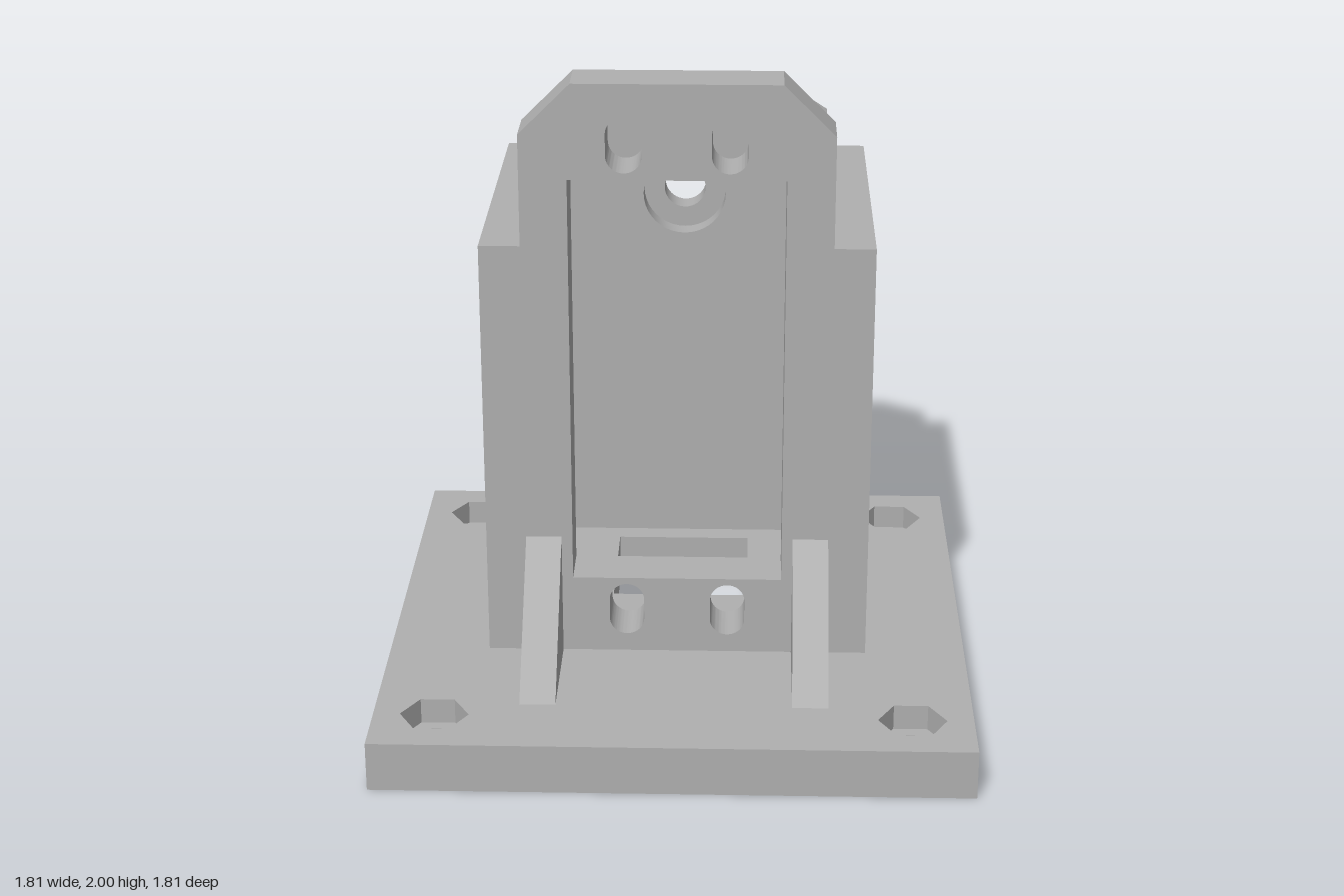
import * as THREE from 'three';
import { toCreasedNormals } from 'three/addons/utils/BufferGeometryUtils.js';

const BASE_TOP = 0.155;
const FRONT = 0.292, FRONT_IN = 0.135, BACK_IN = -0.608, BACK = -0.764;
const HALF_W = 0.593, HALF_IN = 0.472;

const polygon = (points) => points.map(([x, y]) => new THREE.Vector2(x, y));

// Mirrors the right half of an outline (bottom to top) across x = 0
const mirrored = (half) => polygon([...half, ...half.slice().reverse().map(([x, y]) => [-x, y])]);

const rect = (x0, y0, x1, y1) => new THREE.Path(polygon([[x0, y0], [x1, y0], [x1, y1], [x0, y1]]));

const circle = (x, y, r) => new THREE.Path().absarc(x, y, r, 0, Math.PI * 2, true);

const hexagon = (x, y, r) => new THREE.Path(polygon(Array.from({ length: 6 }, (_, i) => {
  const a = i * Math.PI / 3;
  return [x + r * Math.cos(a), y + r * Math.sin(a)];
})));

// Upright slot with round ends
const slot = (x, y, r, h) => new THREE.Path()
  .absarc(x, y + h, r, 0, Math.PI, false)
  .absarc(x, y - h, r, Math.PI, Math.PI * 2, false);

function extrude(outline, holes, depth) {
  const shape = new THREE.Shape(outline);
  shape.holes.push(...holes);
  const geo = new THREE.ExtrudeGeometry(shape, { depth, bevelEnabled: false, curveSegments: 20 });
  return toCreasedNormals(geo, 0.6);
}

export function createModel() {
  const model = new THREE.Group();
  model.name = 'mountingBracket';
  const grey = new THREE.MeshStandardMaterial({ color: 0xb0b0b0 });
  grey.name = 'grey';

  const add = (name, geo, x = 0, y = 0, z = 0) => {
    const mesh = new THREE.Mesh(geo, grey);
    mesh.name = name;
    mesh.position.set(x, y, z);
    model.add(mesh);
    return mesh;
  };

  // Base plate: round bolt holes below, hexagonal nut pockets above
  const square = mirrored([[0.905, -0.905], [0.905, 0.905]]);
  const corners = [[-1, -1], [1, -1], [1, 1], [-1, 1]].map(([x, y]) => [x * 0.72, y * 0.72]);
  const pocketFloor = 0.075;
  const plate = (name, cut, y, height) => {
    const holes = [rect(-0.22, 0.1, 0.22, 0.537), ...corners.map(cut)];
    add(name, extrude(square, holes, height).rotateX(-Math.PI / 2), 0, y);
  };
  plate('basePlateLower', ([x, y]) => circle(x, y, 0.054), 0, pocketFloor);
  plate('basePlateUpper', ([x, y]) => hexagon(x, y, 0.104), pocketFloor, BASE_TOP - pocketFloor);

  // Front wall with a tall opening and four slots
  const frontOutline = mirrored([
    [HALF_W, BASE_TOP], [HALF_W, 1.5], [0.468, 1.5], [0.468, 1.845], [0.312, 2],
  ]);
  const frontHoles = [rect(-0.325, 0.407, 0.325, 1.708)];
  for (const x of [-0.157, 0.157]) {
    for (const y of [0.3, 1.815]) frontHoles.push(slot(x, y, 0.054, 0.032));
  }
  add('frontWall', extrude(frontOutline, frontHoles, FRONT - FRONT_IN), 0, 0, FRONT_IN);

  // Back wall with a hole counterbored from inside
  const backOutline = mirrored([
    [HALF_W, BASE_TOP], [HALF_W, 1.5], [0.468, 1.5], [0.468, 1.627], [0.28, 1.75],
  ]);
  const bore = 0.07;
  add('backWallOuter', extrude(backOutline, [circle(0, 1.378, 0.068)], BACK_IN - BACK - bore), 0, 0, BACK);
  add('backWallInner', extrude(backOutline, [circle(0, 1.378, 0.136)], bore), 0, 0, BACK_IN - bore);

  // Side walls and triangular front gussets
  const wallT = HALF_W - HALF_IN, wallH = 1.5 - BASE_TOP, wallD = FRONT_IN - BACK_IN;
  const gussetT = 0.11;
  for (const [side, s] of [['left', 1], ['right', -1]]) {
    add(side + 'Wall', new THREE.BoxGeometry(wallT, wallH, wallD),
      s * (HALF_W + HALF_IN) / 2, BASE_TOP + wallH / 2, (FRONT_IN + BACK_IN) / 2);
    const triangle = polygon([[-FRONT, BASE_TOP], [-FRONT, 0.547], [-0.653, BASE_TOP]]);
    const gusset = extrude(triangle, [], gussetT).translate(0, 0, -gussetT / 2).rotateY(Math.PI / 2);
    add(side + 'Gusset', gusset, s * 0.414);
  }

  return model;
}
